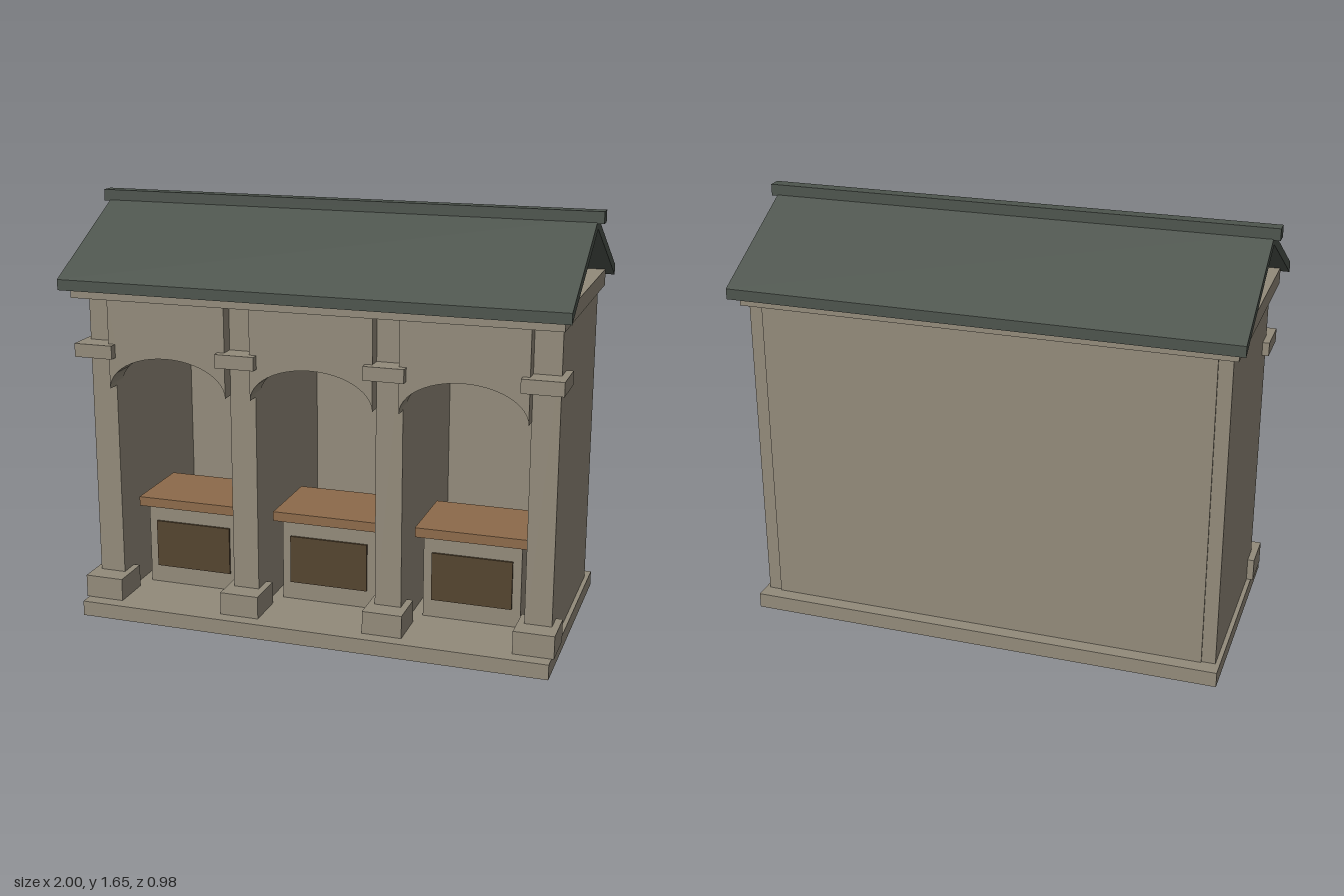
import * as THREE from 'three';

const material = (name, color) => {
  const m = new THREE.MeshStandardMaterial({ color });
  m.name = name;
  return m;
};

export function createModel() {
  const stone = material('stone', 0x928a7a);
  const slate = material('slate', 0x4d544d);
  const wood = material('wood', 0x8c6a4a);
  const darkWood = material('dark wood', 0x54442f);

  const model = new THREE.Group();
  model.name = 'threeBayStall';

  const add = (name, geometry, mat, parent = model) => {
    const mesh = new THREE.Mesh(geometry, mat);
    mesh.name = name;
    parent.add(mesh);
    return mesh;
  };

  // Box given by its [min, max] range on each axis
  const box = (name, mat, [x0, x1], [y0, y1], [z0, z1], parent) => {
    const g = new THREE.BoxGeometry(x1 - x0, y1 - y0, z1 - z0);
    g.translate((x0 + x1) / 2, (y0 + y1) / 2, (z0 + z1) / 2);
    return add(name, g, mat, parent);
  };
  const around = (c, half) => [c - half, c + half];

  const floorY = 0.06, eaveY = 1.29;

  // Plinth, back wall and the slab that carries the roof
  box('plinth', stone, [-0.94, 0.94], [0, floorY], [-0.475, 0.475]);
  box('backWall', stone, [-0.87, 0.87], [floorY, eaveY], [-0.42, -0.365]);
  box('ceilingSlab', stone, [-0.945, 0.945], [eaveY, 1.355], [-0.445, 0.445]);

  // Side walls and partitions, each with a foot block and a capital
  for (const x of [-0.871, -0.29, 0.29, 0.871]) {
    const pier = new THREE.Group();
    pier.name = 'pier';
    model.add(pier);
    box('pierWall', stone, around(x, 0.052), [floorY, eaveY], [-0.413, 0.34], pier);
    box('pierFoot', stone, around(x, 0.078), [floorY, 0.15], [0.257, 0.422], pier);
    box('pierCapital', stone, around(x, 0.078), [1.055, 1.108], [0.253, 0.427], pier);
  }

  // Arched panel: straight sides and top, half-ellipse cut from below
  const springY = 0.93, halfBay = 0.24;
  const arch = new THREE.Shape();
  arch.moveTo(halfBay, springY);
  arch.lineTo(halfBay, eaveY);
  arch.lineTo(-halfBay, eaveY);
  arch.lineTo(-halfBay, springY);
  arch.absellipse(0, springY, halfBay, 0.135, Math.PI, 0, true);
  const archGeometry = new THREE.ExtrudeGeometry(arch, {
    depth: 0.11, bevelEnabled: false, curveSegments: 12,
  });
  archGeometry.translate(0, 0, 0.285);

  // Bays: an arch above and a counter with a dark front panel below
  for (const x of [-0.5805, 0, 0.5805]) {
    const bay = new THREE.Group();
    bay.name = 'bay';
    bay.position.x = x;
    model.add(bay);
    add('archPanel', archGeometry, stone, bay);
    box('counterBase', stone, around(0, 0.193), [floorY, 0.395], [-0.08, 0.185], bay);
    box('counterTop', wood, around(0, 0.22), [0.395, 0.433], [-0.11, 0.22], bay);
    box('counterPanel', darkWood, around(0, 0.159), [0.133, 0.327], [0.185, 0.194], bay);
  }

  // Open gabled roof: chevron section run along x
  const section = new THREE.Shape([
    [-0.49, 1.326], [0, 1.58], [0.49, 1.326], [0.49, 1.367], [0, 1.621], [-0.49, 1.367],
  ].map(([z, y]) => new THREE.Vector2(z, y)));
  const roof = new THREE.ExtrudeGeometry(section, { depth: 1.95, bevelEnabled: false });
  roof.translate(0, 0, -0.975);
  roof.rotateY(Math.PI / 2);
  add('roof', roof, slate);
  box('ridgeBeam', slate, [-1, 1], [1.603, 1.648], [-0.027, 0.027]);

  return model;
}
